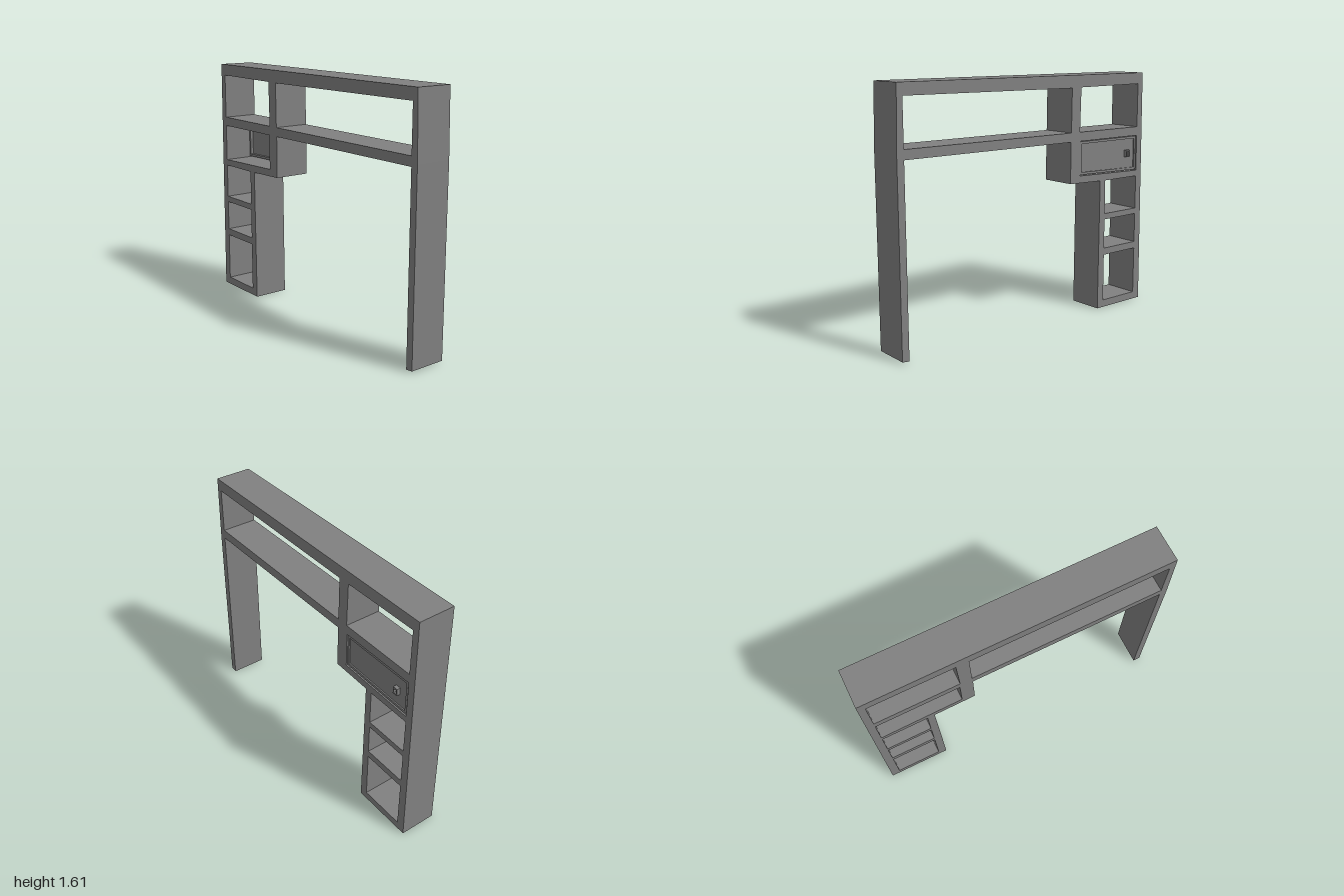
import * as THREE from 'three';

const grey = new THREE.MeshStandardMaterial({ color: 0x808080 });
grey.name = 'grey';

// Extrudes a side profile (points are [-z, y]) across x, from x0 to x1.
function slab(name, outline, holes, x0, x1) {
  const toPoints = (list) => list.map(([a, b]) => new THREE.Vector2(a, b));
  const shape = new THREE.Shape(toPoints(outline));
  for (const hole of holes) shape.holes.push(new THREE.Path(toPoints(hole)));
  const geometry = new THREE.ExtrudeGeometry(shape, { depth: x1 - x0, bevelEnabled: false });
  geometry.rotateY(Math.PI / 2);
  geometry.translate(x0, 0, 0);
  const mesh = new THREE.Mesh(geometry, grey);
  mesh.name = name;
  return mesh;
}

const rect = (a0, a1, b0, b1) => [[a0, b0], [a1, b0], [a1, b1], [a0, b1]];

export function createModel() {
  const group = new THREE.Group();
  group.name = 'shelfUnit';

  // Long single leg, double top shelf, drawer box and narrow shelf tower
  const outline = [
    [-1, 0.01], [-0.953, 0.005], [-0.953, 1.18], [0.315, 1.18], [0.315, 0.905],
    [0.59, 0.897], [0.583, 0], [1, 0], [0.986, 1.61], [-0.99, 1.61], [-1, 1.2],
  ];
  const openings = [
    [[-0.953, 1.24], [0.318, 1.24], [0.322, 1.528], [-0.953, 1.535]],
    [[0.395, 1.24], [0.942, 1.24], [0.942, 1.535], [0.403, 1.53]],
    [[0.40, 0.95], [0.942, 0.935], [0.942, 1.18], [0.40, 1.18]],
    rect(0.638, 0.942, 0.665, 0.895),
    rect(0.638, 0.942, 0.422, 0.625),
    rect(0.638, 0.942, 0.05, 0.375),
  ];
  group.add(slab('frame', outline, openings, -0.125, 0.115));

  // Drawer front: a rim, hollow behind, around a slightly recessed panel
  const drawer = new THREE.Group();
  drawer.name = 'drawer';
  const edge = [[0.404, 0.956], [0.936, 0.942], [0.936, 1.176], [0.404, 1.176]];
  const inner = [[0.418, 0.972], [0.922, 0.958], [0.922, 1.16], [0.418, 1.16]];
  drawer.add(slab('drawerRim', edge, [inner], 0.065, 0.11));
  drawer.add(slab('drawerPanel', inner, [], 0.085, 0.102));

  // Small rectangular pull
  drawer.add(slab('drawerPull', rect(0.832, 0.866, 1.038, 1.085),
    [rect(0.839, 0.859, 1.045, 1.074)], 0.1, 0.125));
  group.add(drawer);

  return group;
}
